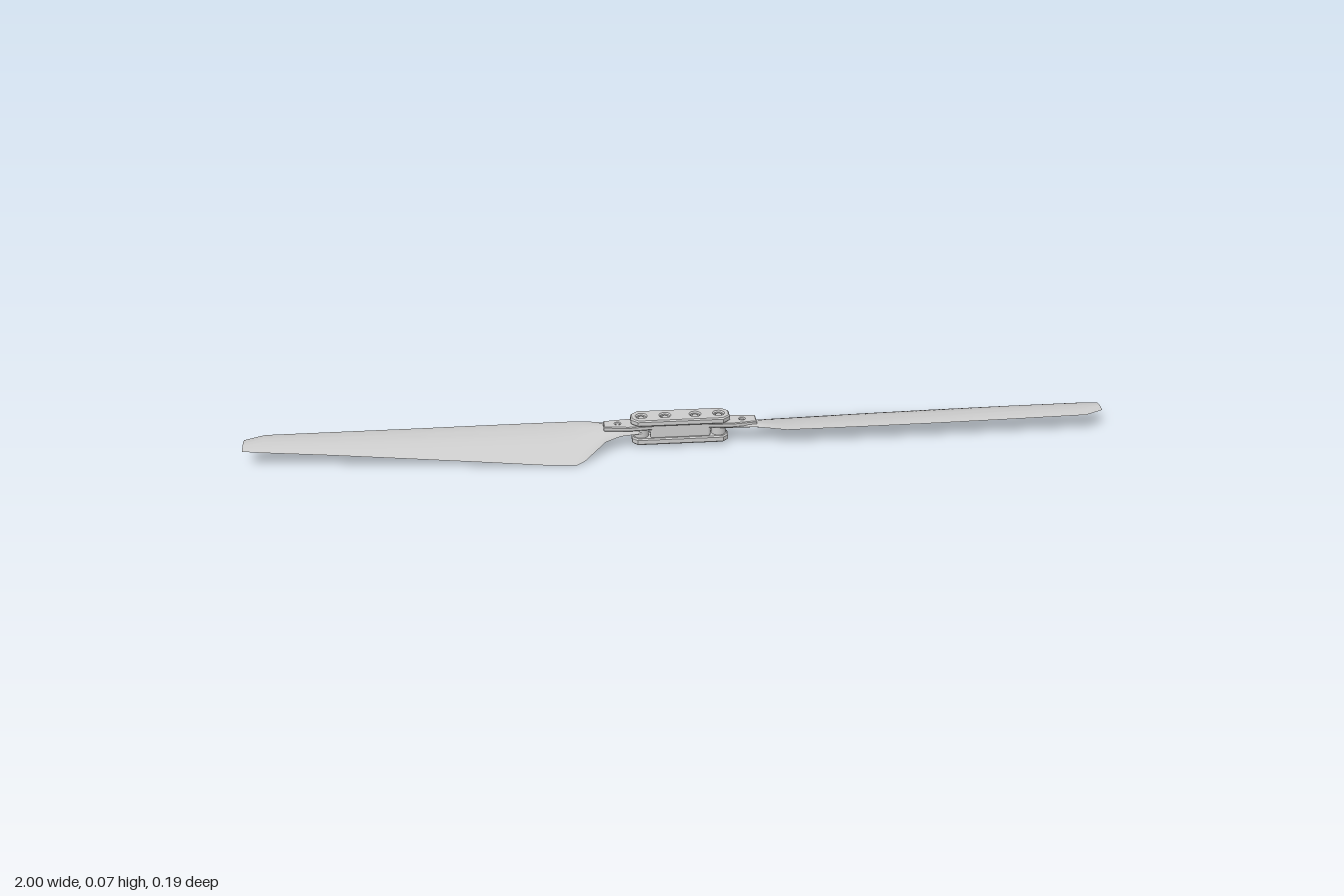
import * as THREE from 'three';
import { toCreasedNormals } from 'three/addons/utils/BufferGeometryUtils.js';
import { RoundedBoxGeometry } from 'three/addons/geometries/RoundedBoxGeometry.js';

const material = new THREE.MeshStandardMaterial({ color: 0xcccccc });

function add(parent, name, geometry, x = 0, y = 0, z = 0) {
  const mesh = new THREE.Mesh(geometry, material);
  mesh.name = name;
  mesh.position.set(x, y, z);
  parent.add(mesh);
  return mesh;
}

// Horizontal plate from an (x, z) outline, with round holes [x, radius], lying between y0 and y1
function plate(outline, holes, y0, y1, bevel) {
  const shape = new THREE.Shape(outline.map(([x, z]) => new THREE.Vector2(x, z)));
  for (const [x, r] of holes) {
    shape.holes.push(new THREE.Path().absarc(x, 0, r, 0, Math.PI * 2, true));
  }
  const g = new THREE.ExtrudeGeometry(shape, {
    depth: y1 - y0 - 2 * bevel, bevelThickness: bevel, bevelSize: bevel,
    bevelOffset: -bevel, bevelSegments: 1, curveSegments: 10,
  });
  g.rotateX(-Math.PI / 2);
  g.translate(0, y0 + bevel, 0);
  return g;
}

// Long plate outline with chamfered ends
function longOutline(hx, hz) {
  const c = hz * 0.55;
  return [[-hx, -hz + c], [-hx + c, -hz], [hx - c, -hz], [hx, -hz + c],
    [hx, hz - c], [hx - c, hz], [-hx + c, hz], [-hx, hz - c]];
}

// Blade stations: x, front edge z, front edge y, back edge z, back edge y, thickness
const STATIONS = [
  [0.09, 0.018, 0.044, -0.018, 0.036, 0.014],
  [0.14, 0.022, 0.045, -0.024, 0.034, 0.013],
  [0.175, 0.028, 0.046, -0.038, 0.028, 0.011],
  [0.2, 0.035, 0.046, -0.062, 0.017, 0.009],
  [0.225, 0.041, 0.045, -0.086, 0.006, 0.008],
  [0.245, 0.045, 0.044, -0.097, 0.001, 0.008],
  [0.3, 0.045, 0.044, -0.096, 0.003, 0.008],
  [0.45, 0.044, 0.044, -0.085, 0.013, 0.007],
  [0.6, 0.042, 0.044, -0.073, 0.022, 0.006],
  [0.8, 0.039, 0.045, -0.056, 0.033, 0.005],
  [0.955, 0.036, 0.046, -0.043, 0.04, 0.004],
  [1, 0.014, 0.046, -0.037, 0.042, 0.003],
];

// Thin, cambered, twisted blade lofted through the stations
function bladeGeometry() {
  const half = 10, ring = half * 2;
  const pos = [], index = [];
  for (const [x, zf, yf, zb, yb, t] of STATIONS) {
    for (let j = 0; j < ring; j++) {
      const top = j <= half;
      const s = (top ? j : ring - j) / half;
      const arch = Math.sin(Math.PI * s);
      const camber = 0.07 * (zf - zb) * arch;
      const y = THREE.MathUtils.lerp(yf, yb, s) + camber + (top ? 0.5 : -0.5) * t * Math.sqrt(arch);
      pos.push(x, y, THREE.MathUtils.lerp(zf, zb, s));
    }
  }
  const last = STATIONS.length - 1;
  for (let i = 0; i < last; i++) {
    for (let j = 0; j < ring; j++) {
      const k = (j + 1) % ring;
      const a = i * ring + j, d = i * ring + k;
      index.push(a, a + ring, d + ring, a, d + ring, d);
    }
  }
  // Close root and tip
  for (let j = 1; j < ring - 1; j++) {
    index.push(0, j, j + 1);
    index.push(last * ring, last * ring + j + 1, last * ring + j);
  }
  const g = new THREE.BufferGeometry();
  g.setAttribute('position', new THREE.Float32BufferAttribute(pos, 3));
  g.setIndex(index);
  return toCreasedNormals(g, 0.7);
}

export function createModel() {
  const model = new THREE.Group();
  model.name = 'propeller';

  // Hub: two plates round a central block
  const hub = new THREE.Group();
  hub.name = 'hub';
  model.add(hub);
  const holes = [[-0.09, 0.011], [-0.035, 0.011], [0.035, 0.011], [0.09, 0.011]];
  add(hub, 'topPlate', plate(longOutline(0.115, 0.029), holes, 0.058, 0.073, 0.003));
  add(hub, 'bottomPlate', plate(longOutline(0.112, 0.023), holes, 0.008, 0.024, 0.003));
  add(hub, 'centreBlock', new RoundedBoxGeometry(0.14, 0.04, 0.036, 2, 0.006), 0, 0.041, 0);

  // Each side: blade, root clamp, hinge and bolts
  const blade = bladeGeometry();
  const clamp = [[0.065, -0.02], [0.12, -0.024], [0.178, -0.017], [0.178, 0.017], [0.12, 0.024], [0.065, 0.02]];
  for (const name of ['left', 'right']) {
    const side = new THREE.Group();
    side.name = name + 'Side';
    side.rotation.y = name === 'left' ? 0 : Math.PI;
    model.add(side);
    add(side, 'blade', blade);
    add(side, 'rootClamp', plate(clamp, [[0.145, 0.006]], 0.045, 0.056, 0.002));
    add(side, 'hingeBarrel', new THREE.CylinderGeometry(0.017, 0.017, 0.04, 20), 0.09, 0.041, 0);
    add(side, 'clampScrew', new THREE.CylinderGeometry(0.005, 0.005, 0.012, 12), 0.145, 0.049, 0);
    for (const x of [0.035, 0.09]) {
      add(side, 'bolt', new THREE.CylinderGeometry(0.008, 0.008, 0.056, 6), x, 0.041, 0);
    }
  }
  return model;
}
